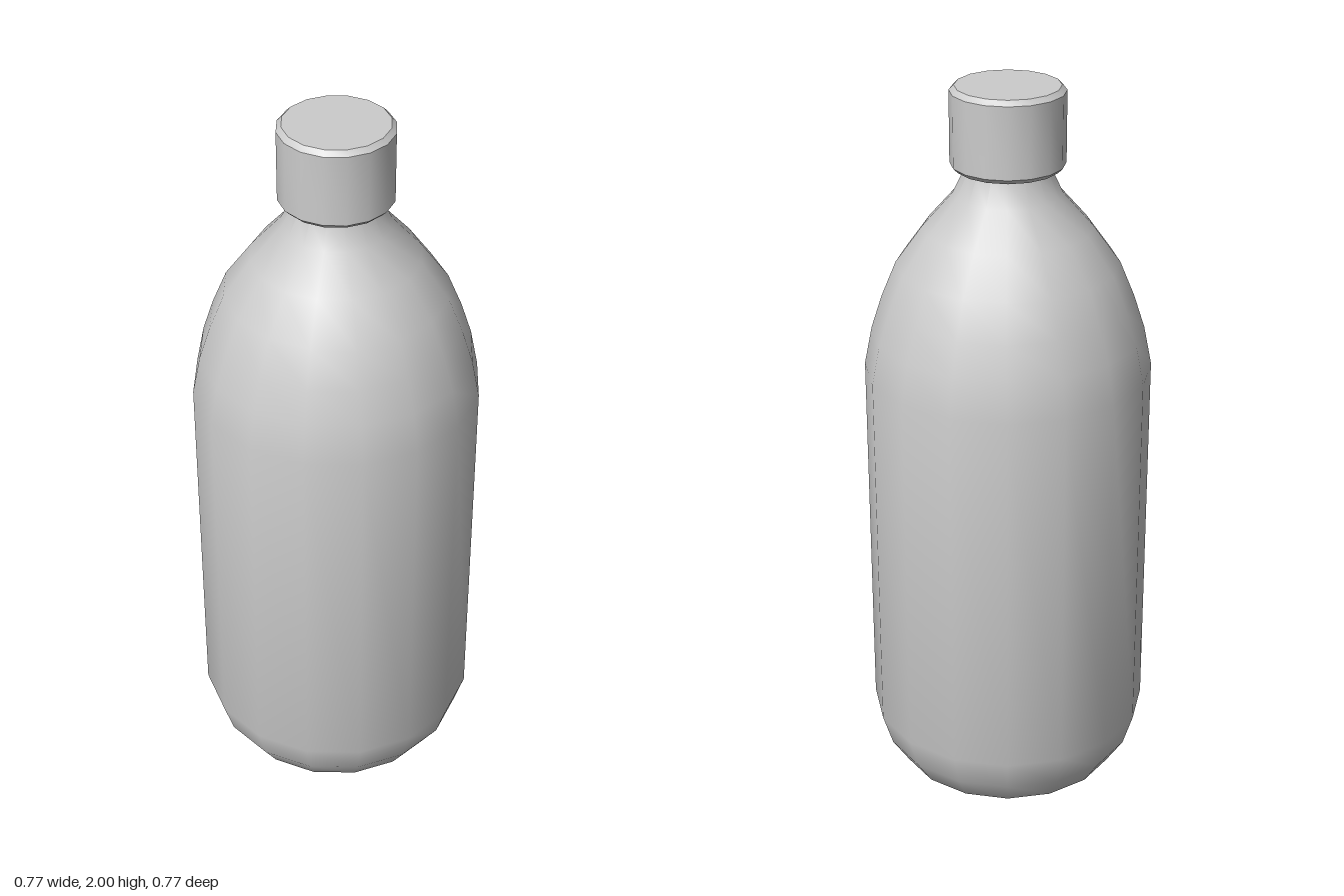
import * as THREE from 'three';
import { toCreasedNormals } from 'three/addons/utils/BufferGeometryUtils.js';

const SIDES = 16;

// Turned part from a [radius, height] profile, listed bottom to top
function turned(name, profile, material) {
  const points = profile.map(([r, y]) => new THREE.Vector2(r, y));
  const geometry = toCreasedNormals(new THREE.LatheGeometry(points, SIDES), THREE.MathUtils.degToRad(30));
  const mesh = new THREE.Mesh(geometry, material);
  mesh.name = name;
  return mesh;
}

export function createModel() {
  const group = new THREE.Group();
  group.name = 'bottle';
  const material = new THREE.MeshStandardMaterial({ color: 0xcccccc });

  // Flat base, rounded foot, straight wall, domed shoulder and flared neck
  group.add(turned('body', [
    [0, 0], [0.247, 0], [0.307, 0.037], [0.355, 0.11], [0.383, 0.2],
    [0.383, 1.235], [0.362, 1.34], [0.333, 1.43], [0.294, 1.525],
    [0.222, 1.625], [0.143, 1.715], [0.112, 1.78], [0.112, 1.82],
  ], material));

  // Screw cap with bevelled rims
  group.add(turned('cap', [
    [0, 1.784], [0.137, 1.784], [0.15, 1.797],
    [0.15, 1.987], [0.137, 2], [0, 2],
  ], material));

  return group;
}
